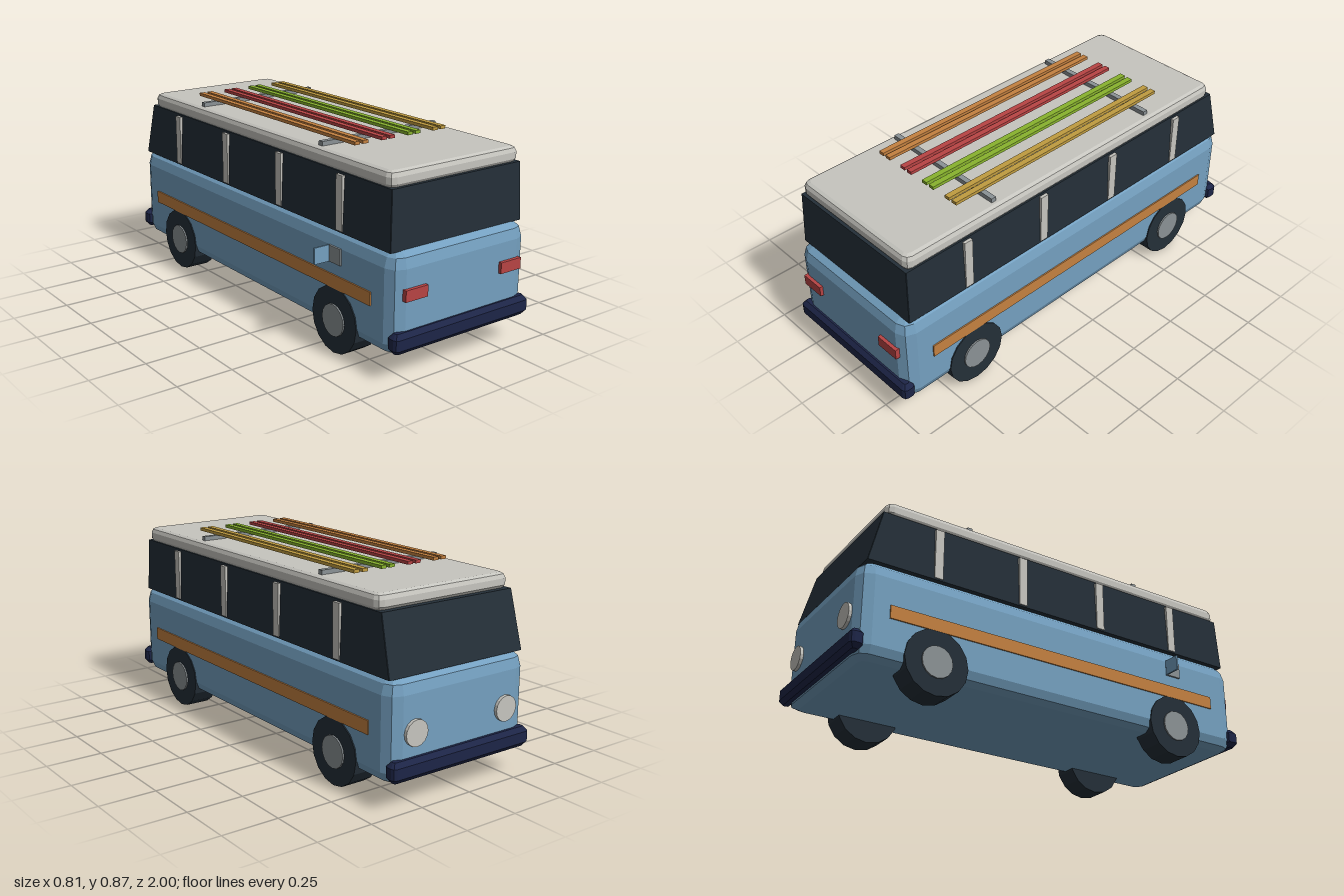
import * as THREE from 'three';

const mat = (name, color) => {
  const m = new THREE.MeshStandardMaterial({ color });
  m.name = name;
  m.flatShading = true;
  return m;
};

// Loft of rounded rectangles stacked upwards.
// Each section: [y, half width, z back, z front, corner radius]
function loft(sections, steps = 2) {
  const pos = [], index = [];
  const n = 4 * (steps + 1);
  for (const [y, w, z0, z1, r] of sections) {
    const corners = [[w - r, z1 - r], [-w + r, z1 - r], [-w + r, z0 + r], [w - r, z0 + r]];
    corners.forEach(([cx, cz], c) => {
      for (let i = 0; i <= steps; i++) {
        const a = (c + i / steps) * Math.PI / 2;
        pos.push(cx + r * Math.cos(a), y, cz + r * Math.sin(a));
      }
    });
  }
  for (let s = 0; s < sections.length - 1; s++) {
    for (let i = 0; i < n; i++) {
      const a = s * n + i, b = s * n + (i + 1) % n;
      index.push(a, a + n, b, b, a + n, b + n);
    }
  }
  const top = (sections.length - 1) * n;
  for (let i = 1; i < n - 1; i++) {
    index.push(0, i, i + 1, top, top + i + 1, top + i);
  }
  const g = new THREE.BufferGeometry();
  g.setAttribute('position', new THREE.Float32BufferAttribute(pos, 3));
  g.setIndex(index);
  const flat = g.toNonIndexed();
  flat.computeVertexNormals();
  return flat;
}

export function createModel() {
  const blue = mat('body blue', 0x74a0c0);
  const white = mat('warm white', 0xc6c5bf);
  const dark = mat('dark glass and rubber', 0x242f38);
  const navy = mat('bumper navy', 0x1d2547);
  const grey = mat('metal grey', 0x8b9295);
  const orange = mat('orange', 0xc48140);
  const red = mat('red', 0xb84444);
  const green = mat('green', 0x88b32d);
  const yellow = mat('yellow', 0xc09c40);

  const model = new THREE.Group();
  model.name = 'camperBus';
  const bus = new THREE.Group();
  bus.name = 'bus';
  bus.position.x = 0.033; // the open flap shifts the bus off centre
  model.add(bus);

  const add = (name, geometry, material, x = 0, y = 0, z = 0) => {
    const mesh = new THREE.Mesh(geometry, material);
    mesh.name = name;
    mesh.position.set(x, y, z);
    bus.add(mesh);
    return mesh;
  };
  const box = (name, material, w, h, d, x, y, z) =>
    add(name, new THREE.BoxGeometry(w, h, d), material, x, y, z);

  // Lower body with softened edges
  add('lowerBody', loft([
    [0.098, 0.31, -0.93, 0.935, 0.03],
    [0.115, 0.342, -0.962, 0.965, 0.05],
    [0.15, 0.357, -0.972, 0.976, 0.06],
    [0.46, 0.357, -0.972, 0.976, 0.06],
    [0.503, 0.345, -0.962, 0.965, 0.05],
    [0.525, 0.322, -0.935, 0.94, 0.03],
  ]), blue);

  // Window band, raked at the driver's end
  add('windowBand', loft([
    [0.523, 0.349, -0.948, 0.94, 0.002],
    [0.77, 0.339, -0.885, 0.93, 0.002],
  ], 1), dark);

  // Roof
  add('roof', loft([
    [0.765, 0.328, -0.855, 0.912, 0.02],
    [0.782, 0.339, -0.867, 0.923, 0.03],
    [0.81, 0.339, -0.867, 0.923, 0.03],
    [0.827, 0.332, -0.86, 0.916, 0.027],
    [0.834, 0.318, -0.845, 0.902, 0.02],
  ]), white);

  // Bumpers: bevelled bars at both ends
  for (const s of [1, -1]) {
    const z0 = s > 0 ? 0.942 : -1, z1 = s > 0 ? 1 : -0.942;
    add(s > 0 ? 'tailBumper' : 'noseBumper', loft([
      [0.122, 0.345, z0 + 0.016, z1 - 0.016, 0.01],
      [0.142, 0.362, z0, z1, 0.018],
      [0.188, 0.362, z0, z1, 0.018],
      [0.208, 0.345, z0 + 0.016, z1 - 0.016, 0.01],
    ]), navy);
  }

  // Parts repeated on both sides
  const tyre = new THREE.CylinderGeometry(0.145, 0.145, 0.112, 16).rotateZ(Math.PI / 2);
  const hub = new THREE.CylinderGeometry(0.07, 0.07, 0.04, 16).rotateZ(Math.PI / 2);
  const lamp = new THREE.CylinderGeometry(0.055, 0.055, 0.03, 16).rotateX(Math.PI / 2);
  for (const s of [1, -1]) {
    for (const z of [0.613, -0.625]) {
      add('tyre', tyre, dark, s * 0.306, 0.145, z);
      add('hubCap', hub, grey, s * 0.349, 0.145, z);
    }
    for (const z of [0.628, 0.21, -0.207, -0.625]) {
      box('windowPillar', white, 0.014, 0.23, 0.04, s * 0.346, 0.645, z);
    }
    box('sideStripe', orange, 0.009, 0.058, 1.68, s * 0.3585, 0.311, 0);
    box('tailLight', red, 0.112, 0.048, 0.02, s * 0.254, 0.357, 0.981);
    add('headlight', lamp, white, s * 0.237, 0.305, -0.971);
  }

  // Open filler flap and its recess plate
  box('fillerPlate', grey, 0.009, 0.07, 0.075, -0.361, 0.426, 0.617);
  box('fillerFlap', blue, 0.075, 0.07, 0.008, -0.4, 0.426, 0.579);

  // Roof rack bars
  for (const z of [0.45, -0.457]) {
    box('rackBar', grey, 0.614, 0.022, 0.024, -0.002, 0.842, z);
  }

  // Pairs of skis
  [orange, red, green, yellow].forEach((m, i) => {
    for (const s of [1, -1]) {
      box('ski', m, 0.027, 0.014, 1.185, -0.211 + i * 0.139 + s * 0.021, 0.861, -0.002);
    }
  });

  return model;
}
